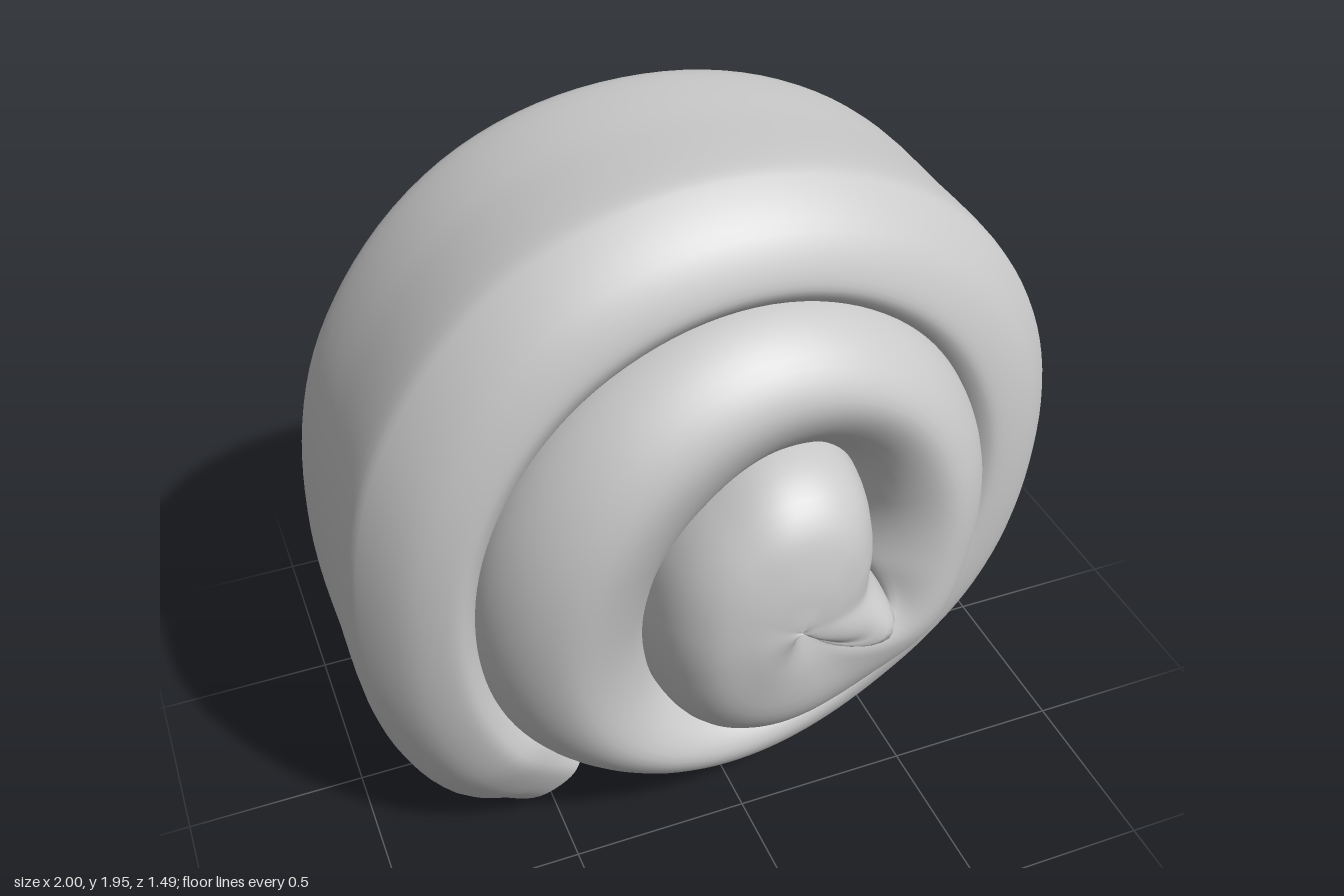
import * as THREE from 'three';

// Outer radius of the spiral, every 30 degrees clockwise from the tail (three turns)
const RADII = [
  1.15, 1.10, 1.04, 1.06, 1.09, 1.07, 1.04, 1.0, 0.955, 0.93, 0.84, 0.80,
  0.78, 0.78, 0.77, 0.78, 0.80, 0.80, 0.76, 0.70, 0.65, 0.61, 0.59, 0.55,
  0.48, 0.38, 0.335, 0.335, 0.36, 0.41, 0.41, 0.33, 0.285, 0.33, 0.03, 0,
];
// Half width across z, every 90 degrees
const WIDTHS = [0.47, 0.485, 0.46, 0.44, 0.56, 0.67, 0.63, 0.65, 0.735, 0.74, 0.74, 0.735];
// Half cross-sections [inward fraction, width fraction]: outer coil, middle coil, core, core tip
const SECTIONS = [
  [[0, 0], [0, 0.5], [0.1, 0.67], [0.4, 0.88], [0.75, 0.99], [0.95, 0.98], [1.1, 0.85], [1.2, 0.4], [1.2, 0]],
  [[0, 0], [0, 0.55], [0.05, 0.76], [0.25, 0.93], [0.52, 1], [0.85, 0.9], [1.1, 0.68], [1.2, 0.4], [1.2, 0]],
  [[0, 0], [0, 0.5], [0.08, 0.77], [0.3, 0.92], [0.6, 0.98], [0.85, 0.997], [1, 1], [1, 0.5], [1, 0]],
  [[0, 0], [0, 0.5], [0, 0.91], [0.3, 0.955], [0.6, 0.985], [0.85, 0.997], [1, 1], [1, 0.5], [1, 0]],
];
const CX = 0.04, CY = 0.88;
const START = 0.28, END = 34.8;
const { smoothstep, degToRad } = THREE.MathUtils;

// Smooth cubic reading of a list at a fractional index
function sample(list, u) {
  const at = (i) => list[Math.min(Math.max(i, 0), list.length - 1)];
  const i = Math.floor(u), f = u - i;
  const [a, b, c, d] = [at(i - 1), at(i), at(i + 1), at(i + 2)];
  return b + 0.5 * f * (c - a + f * (2 * a - 5 * b + 4 * c - d + f * (3 * (b - c) + d - a)));
}

// Closed ring of points across the coil at spiral position u
function ringAt(u, half) {
  const k = smoothstep(u, 9, 13) + smoothstep(u, 19, 22) + smoothstep(u, 32, 33);
  const n = Math.min(Math.floor(k), 2), f = k - n;
  const profile = new THREE.SplineCurve(SECTIONS[n].map((p, i) => {
    const q = SECTIONS[n + 1][i];
    return new THREE.Vector2(p[0] + (q[0] - p[0]) * f, p[1] + (q[1] - p[1]) * f);
  })).getPoints(half);

  // the tail end is drawn in a little, both inward and across
  const outer = Math.max(0, sample(RADII, u)) * (1 - 0.04 * (1 - smoothstep(u, START, 0.55)));
  const inner = Math.min(outer, Math.max(0, sample(RADII, u + 12)));
  const w = sample(WIDTHS, u / 3) * (1 - 0.13 * (1 - smoothstep(u, START, 0.9)));
  const angle = degToRad(240 - 30 * u);
  const ring = [];
  for (let j = 0; j < 2 * half; j++) {
    const p = profile[j <= half ? j : 2 * half - j];
    const r = Math.max(0, outer + (inner - outer) * p.x);
    const z = Math.min(p.y, 1) * w * (j <= half ? 1 : -1);
    ring.push([CX + r * Math.cos(angle), CY + r * Math.sin(angle), z]);
  }
  return ring;
}

// Rolled shell: one strip wound from the tail into the core
function shellGeometry() {
  const half = 32, count = 2 * half, steps = 340;
  const pos = [], index = [];
  for (let i = 0; i <= steps; i++) {
    for (const p of ringAt(START + (END - START) * i / steps, half)) pos.push(...p);
  }
  for (let i = 0; i < steps; i++) {
    for (let j = 0; j < count; j++) {
      const a = i * count + j, b = i * count + (j + 1) % count;
      index.push(a, b, a + count, b, b + count, a + count);
    }
  }
  // flat cap on the tail end
  const base = pos.length / 3;
  const tail = ringAt(START, half);
  for (const p of tail) pos.push(...p);
  const mid = [0, 1, 2].map((c) => tail.reduce((sum, p) => sum + p[c], 0) / count);
  pos.push(...mid);
  for (let j = 0; j < count; j++) index.push(base + count, base + (j + 1) % count, base + j);

  const geo = new THREE.BufferGeometry();
  geo.setAttribute('position', new THREE.Float32BufferAttribute(pos, 3));
  geo.setIndex(index);
  geo.computeVertexNormals();
  return geo;
}

export function createModel() {
  const grey = new THREE.MeshStandardMaterial({ color: 0xc8c8c8 });
  grey.name = 'plain grey';
  const model = new THREE.Group();
  model.name = 'snail';
  const add = (name, geo) => {
    const mesh = new THREE.Mesh(geo, grey);
    mesh.name = name;
    model.add(mesh);
    return mesh;
  };

  add('shell', shellGeometry());

  // Tiny body: a tapered capsule lying along x
  const outline = new THREE.SplineCurve([
    [0, 0.06], [0.02, 0.065], [0.032, 0.09], [0.046, 0.2], [0.05, 0.36],
    [0.052, 0.45], [0.045, 0.485], [0.028, 0.503], [0, 0.51],
  ].map(([r, x]) => new THREE.Vector2(r, x)));
  const bodyPoints = outline.getPoints(40).map((p) => p.set(Math.max(0, p.x), p.y));
  const body = new THREE.LatheGeometry(bodyPoints, 24);
  body.rotateZ(-Math.PI / 2);
  add('body', body).position.y = 0.053;

  // Pair of feelers
  for (const side of [1, -1]) {
    const path = new THREE.LineCurve3(
      new THREE.Vector3(0.475, 0.09, side * 0.018),
      new THREE.Vector3(0.49, 0.155, side * 0.028),
    );
    add(side > 0 ? 'rightFeeler' : 'leftFeeler', new THREE.TubeGeometry(path, 1, 0.004, 8));
  }
  return model;
}
